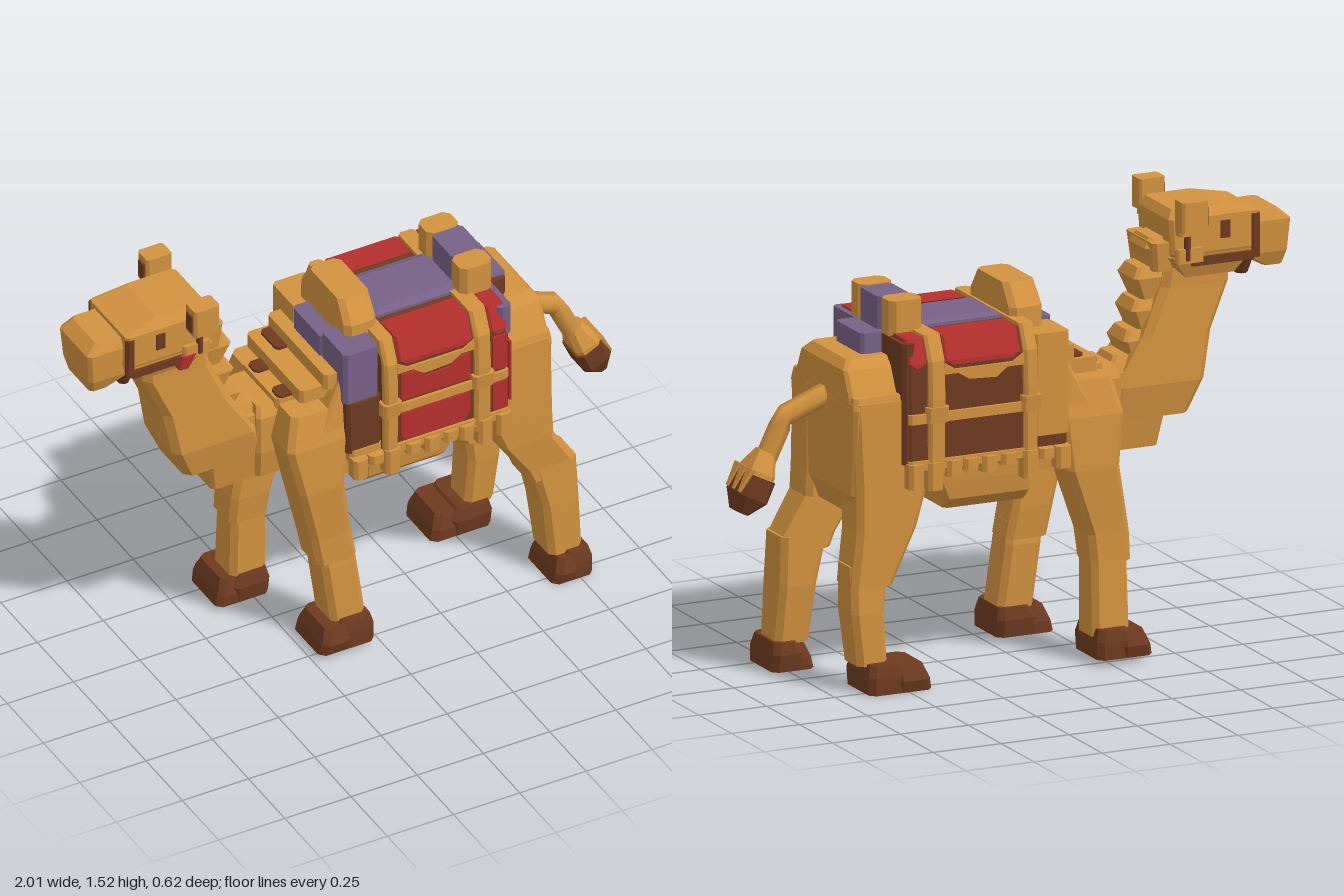
import * as THREE from 'three';

const mat = (name, color) => {
  const m = new THREE.MeshStandardMaterial({ color });
  m.name = name;
  return m;
};

// Stack of chamfered rectangles; each level is [y, x0, x1, z0, z1]
function loftGeometry(levels, c = 0.012) {
  const rings = levels.map(([y, x0, x1, z0, z1]) => {
    const k = Math.min(c, (x1 - x0) * 0.3, (z1 - z0) * 0.3);
    return [[x0 + k, z1], [x1 - k, z1], [x1, z1 - k], [x1, z0 + k],
      [x1 - k, z0], [x0 + k, z0], [x0, z0 + k], [x0, z1 - k]].map(([x, z]) => [x, y, z]);
  });
  const pos = [];
  const tri = (...p) => p.forEach((v) => pos.push(...v));
  for (let r = 0; r < rings.length - 1; r++) {
    for (let i = 0; i < 8; i++) {
      const j = (i + 1) % 8, lo = rings[r], hi = rings[r + 1];
      tri(lo[i], lo[j], hi[j]);
      tri(lo[i], hi[j], hi[i]);
    }
  }
  const top = rings[rings.length - 1], bot = rings[0];
  for (let i = 1; i < 7; i++) {
    tri(top[0], top[i], top[i + 1]);
    tri(bot[0], bot[i + 1], bot[i]);
  }
  const g = new THREE.BufferGeometry();
  g.setAttribute('position', new THREE.Float32BufferAttribute(pos, 3));
  g.computeVertexNormals();
  return g;
}

export function createModel() {
  const root = new THREE.Group();
  root.name = 'camel';
  const tan = mat('tan fur', 0xd2923f);
  const brown = mat('dark brown', 0x6e3a20);
  const red = mat('red cloth', 0xb5302d);
  const purple = mat('purple cloth', 0x776186);

  const add = (name, geo, m) => {
    const mesh = new THREE.Mesh(geo, m);
    mesh.name = name;
    root.add(mesh);
    return mesh;
  };
  const loft = (name, m, levels, c) => add(name, loftGeometry(levels, c), m);
  const block = (name, m, x0, x1, y0, y1, z0, z1, c) =>
    loft(name, m, [[y0, x0, x1, z0, z1], [y1, x0, x1, z0, z1]], c);
  // Loft symmetric in z; each level is [y, x0, x1, halfWidth]
  const sym = (name, m, levels, c) => loft(name, m, levels.map(([y, a, b, w]) => [y, a, b, -w, w]), c);

  // Torso
  sym('belly', tan, [[0.58, 0.0, 0.3, 0.15], [0.62, 0.0, 0.31, 0.19], [0.75, -0.01, 0.37, 0.21]]);
  sym('barrel', tan, [[0.69, -0.2, 0.5, 0.22], [0.9, -0.2, 0.52, 0.24], [1.1, -0.1, 0.48, 0.22]]);
  sym('chest', tan, [[0.69, -0.36, -0.08, 0.1], [0.8, -0.37, -0.05, 0.12], [0.94, -0.37, -0.05, 0.12], [0.98, -0.36, -0.05, 0.1]]);
  sym('rump', tan, [[0.6, 0.47, 0.64, 0.14], [0.68, 0.45, 0.67, 0.22], [0.98, 0.46, 0.675, 0.25], [1.02, 0.46, 0.67, 0.24]]);
  sym('rumpTop', tan, [[1.0, 0.46, 0.675, 0.22], [1.1, 0.46, 0.675, 0.17], [1.13, 0.46, 0.65, 0.14]]);

  // Stepped fur and cloth over the shoulders
  block('shoulderStepLow', tan, -0.3, -0.08, 0.96, 1.0, -0.12, 0.12);
  block('shoulderStepMiddle', tan, -0.24, -0.08, 1.0, 1.05, -0.2, 0.18);
  block('shoulderStepTop', tan, -0.16, -0.05, 1.04, 1.1, -0.2, 0.2);
  for (const z of [-0.1, 0.06]) block('shoulderCloth', brown, -0.29, -0.23, 0.98, 1.01, z, z + 0.06);
  block('shoulderClothHigh', brown, -0.2, -0.15, 1.04, 1.06, -0.18, -0.06);

  // Neck and its stepped mane
  sym('throat', tan, [[0.785, -0.63, -0.32, 0.1], [0.9, -0.68, -0.36, 0.12], [1.06, -0.71, -0.46, 0.11],
    [1.22, -0.78, -0.53, 0.1], [1.32, -0.78, -0.55, 0.1]], 0.025);
  sym('neckBase', tan, [[0.68, -0.52, -0.34, 0.08], [0.8, -0.54, -0.31, 0.1], [0.95, -0.54, -0.36, 0.1]]);
  [[-0.41, 0.92], [-0.46, 1.0], [-0.49, 1.1], [-0.5, 1.21], [-0.54, 1.31]].forEach(([x, y]) =>
    loft('maneTuft', tan, [[y - 0.03, x - 0.1, x + 0.03, -0.06, 0.06], [y + 0.045, x - 0.1, x + 0.06, -0.075, 0.075],
      [y + 0.08, x - 0.1, x + 0.04, -0.06, 0.06]]));
  sym('neckFold', tan, [[0.78, -0.4, -0.3, 0.08], [0.92, -0.42, -0.3, 0.09], [0.98, -0.42, -0.38, 0.07]]);

  // Head
  sym('skull', tan, [[1.29, -0.86, -0.56, 0.11], [1.34, -0.87, -0.55, 0.13], [1.46, -0.87, -0.54, 0.13], [1.49, -0.74, -0.56, 0.11]]);
  sym('muzzle', tan, [[1.25, -0.98, -0.91, 0.08], [1.3, -0.99, -0.82, 0.1], [1.41, -1.0, -0.82, 0.105], [1.445, -0.96, -0.82, 0.09]]);
  sym('jaw', tan, [[1.25, -0.8, -0.6, 0.1], [1.33, -0.86, -0.54, 0.13]]);
  sym('nape', tan, [[1.28, -0.62, -0.5, 0.1], [1.38, -0.6, -0.49, 0.11]]);
  sym('chinStrap', brown, [[1.23, -0.86, -0.82, 0.07], [1.3, -0.87, -0.83, 0.1]]);
  for (const s of [-1, 1]) {
    const side = (name, m, x0, x1, y0, y1, a, b) =>
      block(name, m, x0, x1, y0, y1, Math.min(a * s, b * s), Math.max(a * s, b * s), 0.008);
    side('eye', brown, -0.76, -0.725, 1.38, 1.44, 0.128, 0.136);
    side('noseStrap', brown, -0.872, -0.84, 1.3, 1.45, 0.115, 0.136);
    side('bridle', brown, -0.85, -0.62, 1.295, 1.325, 0.12, 0.137);
    side('cheek', tan, -0.66, -0.56, 1.31, 1.36, 0.1, 0.145);
    side('cheekStrap', brown, -0.61, -0.59, 1.32, 1.44, 0.128, 0.15);
    side('earRoot', tan, -0.63, -0.56, 1.41, 1.47, 0.1, 0.17);
    side('ear', tan, -0.65, -0.555, 1.43, 1.535, 0.13, 0.2);
    side('innerEar', brown, -0.656, -0.648, 1.445, 1.51, 0.145, 0.185);
  }
  loft('bridleTassel', red, [[1.275, -0.68, -0.64, 0.1, 0.148], [1.325, -0.67, -0.615, 0.1, 0.152]], 0.006);

  // Legs: upper limb, lower limb, and a two-step hoof
  const leg = (name, s, upper, lower, hoof) => {
    const z = ([y, x0, x1, a, b]) => [y, x0, x1, Math.min(a * s, b * s), Math.max(a * s, b * s)];
    loft(name + 'Upper', tan, upper.map(z), 0.02);
    loft(name + 'Lower', tan, lower.map(z), 0.02);
    const [x0, x1, y] = hoof;
    const m = x0 + (x1 - x0) * 0.45;
    loft(name + 'Hoof', brown, [[y, m - 0.03, x1, 0.1, 0.3], [y + 0.06, m - 0.03, x1, 0.09, 0.3],
      [y + 0.1, m, x1 - 0.01, 0.1, 0.29]].map(z), 0.02);
    loft(name + 'Toe', brown, [[y, x0, m + 0.03, 0.1, 0.3], [y + 0.04, x0 + 0.01, m + 0.03, 0.1, 0.31],
      [y + 0.09, x0 + 0.03, m + 0.03, 0.12, 0.29]].map(z), 0.02);
  };
  leg('frontLeftLeg', 1,
    [[0.36, -0.21, -0.06, 0.11, 0.25], [0.47, -0.23, -0.08, 0.1, 0.25], [0.68, -0.28, -0.11, 0.1, 0.26], [0.86, -0.32, -0.09, 0.1, 0.25], [0.98, -0.29, -0.09, 0.1, 0.22]],
    [[0.1, -0.16, -0.03, 0.12, 0.26], [0.34, -0.19, -0.06, 0.11, 0.25], [0.42, -0.2, -0.07, 0.12, 0.24]],
    [-0.23, -0.02, 0.03]);
  leg('frontRightLeg', -1,
    [[0.35, -0.345, -0.2, 0.11, 0.25], [0.45, -0.34, -0.19, 0.1, 0.25], [0.68, -0.3, -0.11, 0.1, 0.26], [0.86, -0.32, -0.09, 0.1, 0.25], [0.98, -0.29, -0.09, 0.1, 0.22]],
    [[0.1, -0.335, -0.2, 0.12, 0.26], [0.38, -0.33, -0.2, 0.12, 0.25]],
    [-0.4, -0.2, 0.03]);
  leg('hindLeftLeg', 1,
    [[0.42, 0.59, 0.765, 0.1, 0.25], [0.47, 0.57, 0.76, 0.1, 0.25], [0.6, 0.48, 0.68, 0.1, 0.26], [0.7, 0.44, 0.675, 0.1, 0.26], [1.0, 0.47, 0.675, 0.1, 0.25]],
    [[0.1, 0.66, 0.785, 0.12, 0.26], [0.3, 0.64, 0.775, 0.1, 0.26], [0.47, 0.6, 0.77, 0.1, 0.25]],
    [0.65, 0.805, 0.01]);
  leg('hindRightLeg', -1,
    [[0.37, 0.53, 0.68, 0.1, 0.25], [0.56, 0.44, 0.66, 0.1, 0.25], [0.7, 0.4, 0.66, 0.1, 0.25], [1.0, 0.47, 0.675, 0.1, 0.25]],
    [[0.1, 0.55, 0.66, 0.12, 0.25], [0.28, 0.56, 0.68, 0.11, 0.25], [0.44, 0.54, 0.68, 0.11, 0.24]],
    [0.41, 0.64, 0.01]);

  // Tail with a dark tuft under scalloped fur
  const tailPath = new THREE.CurvePath();
  const tailPoints = [[0.62, 1.0], [0.815, 0.925], [0.905, 0.74]].map(([x, y]) => new THREE.Vector3(x, y, 0));
  for (let i = 0; i < 2; i++) tailPath.add(new THREE.LineCurve3(tailPoints[i], tailPoints[i + 1]));
  add('tail', new THREE.TubeGeometry(tailPath, 10, 0.037, 6), tan);
  const swing = (mesh) => { mesh.position.set(0.885, 0.8, 0); mesh.rotation.z = 0.46; };
  swing(sym('tailTuftTop', tan, [[-0.09, -0.045, 0.053, 0.067], [-0.06, -0.045, 0.05, 0.065], [0.01, -0.03, 0.035, 0.035]], 0.02));
  swing(sym('tailTuft', brown, [[-0.21, -0.02, 0.03, 0.04], [-0.15, -0.055, 0.058, 0.069], [-0.075, -0.052, 0.056, 0.069]], 0.02));
  for (const z of [-0.045, 0, 0.045]) {
    swing(loft('tailScallop', tan, [[-0.145, 0.054, 0.063, z - 0.008, z + 0.008], [-0.06, 0.045, 0.061, z - 0.022, z + 0.022]], 0.003));
  }

  // Saddle blanket, straps and fringe
  sym('blanket', brown, [[0.77, 0.02, 0.49, 0.275], [1.12, 0.02, 0.49, 0.272], [1.2, 0.02, 0.49, 0.24]], 0.01);
  for (const [a, b] of [[0.02, 0.07], [0.36, 0.42]]) {
    sym('girthStrap', tan, [[0.74, a, b, 0.29], [1.0, a, b, 0.295], [1.13, a, b, 0.288], [1.212, a, b, 0.25]], 0.01);
    sym('strapKnot', tan, [[0.92, a - 0.01, b + 0.01, 0.295], [0.975, a - 0.01, b + 0.01, 0.302]], 0.01);
  }
  for (const y of [0.775, 0.935]) block('crossStrap', tan, 0.02, 0.49, y - 0.015, y + 0.018, -0.285, 0.285, 0.008);
  [[-0.1, 0.71], [-0.04, 0.75], [0.02, 0.69], [0.1, 0.745], [0.17, 0.73], [0.24, 0.745], [0.3, 0.73], [0.37, 0.69], [0.44, 0.7]].forEach(([x, y]) => {
    for (const s of [-1, 1]) block('fringe', tan, x, x + 0.055, y, 0.785, s * 0.27 - 0.03, s * 0.27 + 0.03);
  });

  // Cloth panels on the flanks, with scalloped trim
  const panel = (name, m, pts, z) => {
    const g = new THREE.ExtrudeGeometry(new THREE.Shape(pts.map((p) => new THREE.Vector2(...p))), { depth: 0.008, bevelEnabled: false });
    add(name, g, m).position.z = z;
  };
  [
    [[0.1, 0.8], [0.32, 0.8], [0.345, 0.83], [0.345, 0.91], [0.085, 0.91], [0.085, 0.82]],
    [[0.085, 0.965], [0.345, 0.965], [0.345, 1.07], [0.3, 1.07], [0.27, 1.04], [0.18, 1.035], [0.14, 1.07], [0.085, 1.07]],
    [[0.43, 0.8], [0.485, 0.8], [0.485, 0.91], [0.43, 0.91]],
    [[0.43, 0.965], [0.485, 0.965], [0.485, 1.1], [0.43, 1.1]],
  ].forEach((pts) => panel('redPanel', red, pts, 0.273));
  const scallop = [[0.07, 1.08], [0.13, 1.08], [0.17, 1.05], [0.27, 1.055], [0.31, 1.08], [0.36, 1.08], [0.36, 1.12],
    [0.32, 1.095], [0.11, 1.095], [0.07, 1.12]];
  for (const z of [0.274, -0.282]) panel('scallopTrim', tan, scallop, z);
  for (const s of [-1, 1]) {
    for (const [a, b] of [[0.08, 0.355], [0.425, 0.488]]) {
      const z = (p, q) => (s > 0 ? [p, q] : [-q, -p]);
      loft('redTopPanel', red, [[1.11, a + 0.02, b - 0.02, ...z(0.262, 0.28)], [1.125, a, b, ...z(0.25, 0.279)],
        [1.206, a, b, ...z(0.145, 0.246)]], 0.006);
    }
  }

  // Saddle front and back skirts
  block('frontSkirtLeft', brown, -0.11, 0.02, 0.8, 1.0, 0.1, 0.265);
  block('frontDrapeLeft', purple, -0.115, 0.015, 1.0, 1.2, 0.09, 0.255);
  block('frontSkirtRight', tan, -0.11, 0.02, 0.82, 1.17, -0.26, -0.1);
  block('frontSkirtHem', brown, -0.1, 0.02, 0.75, 0.82, -0.265, -0.1);
  block('frontTopCloth', purple, -0.12, 0.03, 1.06, 1.18, -0.1, 0.1);
  block('skirtTrim', tan, -0.1, 0.02, 0.76, 0.81, 0.1, 0.27);
  block('backDrapeLeft', purple, 0.46, 0.51, 1.09, 1.2, 0.08, 0.268);
  block('backSkirtLeft', brown, 0.46, 0.5, 0.78, 1.09, 0.1, 0.268);
  block('redBackEdge', red, 0.494, 0.503, 0.82, 1.06, 0.235, 0.278, 0.003);
  block('backSkirtRight', brown, 0.46, 0.505, 0.78, 1.195, -0.268, -0.08);
  block('backTopCloth', purple, 0.47, 0.58, 1.12, 1.2, -0.1, 0.1);
  block('backClothSide', brown, 0.49, 0.57, 1.13, 1.195, 0.08, 0.12);

  // Seat between two raised saddle humps
  sym('seat', purple, [[1.16, 0.07, 0.4, 0.12], [1.21, 0.07, 0.4, 0.117], [1.22, 0.09, 0.37, 0.09]]);
  sym('frontHump', tan, [[1.15, -0.06, 0.06, 0.17], [1.24, -0.06, 0.06, 0.165], [1.315, -0.055, 0.06, 0.11]], 0.02);
  for (const s of [-1, 1]) block('backHumpSide', tan, 0.38, 0.5, 1.15, 1.315, s * 0.115 - 0.045, s * 0.115 + 0.045, 0.02);
  block('backHump', purple, 0.39, 0.505, 1.15, 1.312, -0.075, 0.075);

  // Rest on the ground
  root.position.y = -0.01;
  const model = new THREE.Group();
  model.name = 'camelModel';
  model.add(root);
  return model;
}
